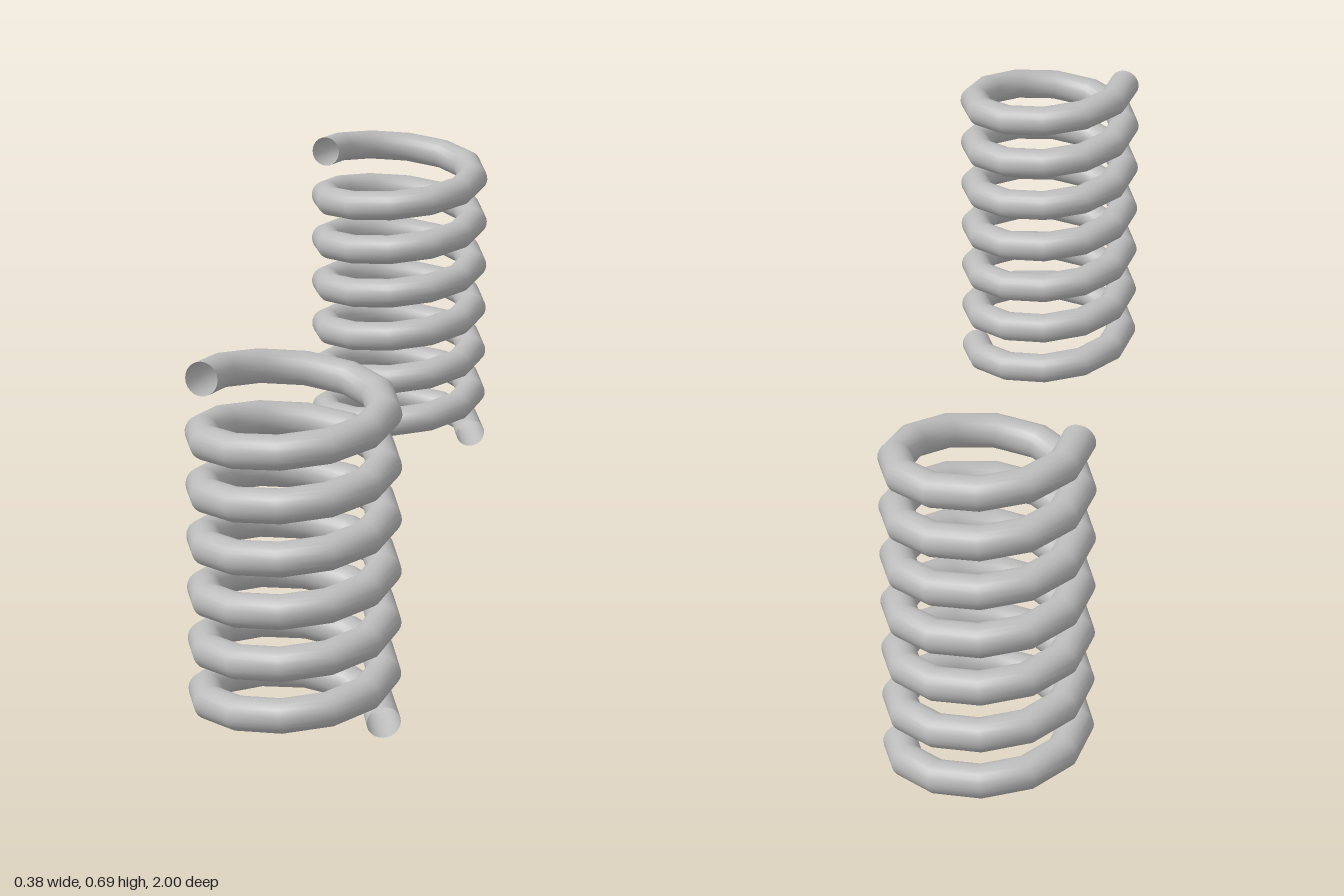
import * as THREE from 'three';

const TURNS = 6.5;
const STEPS_PER_TURN = 12;
const COIL_RADIUS = 0.161;
const WIRE_RADIUS = 0.031;
const BOTTOM = 0.032;
const TOP = 0.664;

// Helix centreline: starts at +x and winds round the back first
function helixCurve() {
  const steps = TURNS * STEPS_PER_TURN;
  const points = [];
  for (let i = 0; i <= steps; i++) {
    const a = (i / STEPS_PER_TURN) * Math.PI * 2;
    points.push(new THREE.Vector3(
      COIL_RADIUS * Math.cos(a),
      THREE.MathUtils.lerp(BOTTOM, TOP, i / steps),
      -COIL_RADIUS * Math.sin(a)
    ));
  }
  const curve = new THREE.CatmullRomCurve3(points);
  curve.arcLengthDivisions = steps * 20;
  return curve;
}

export function createModel() {
  const model = new THREE.Group();
  model.name = 'springPair';

  // Open-ended wire, so the inside shows at both ends
  const steel = new THREE.MeshStandardMaterial({ color: 0xbbbbbb, side: THREE.DoubleSide });
  steel.name = 'steel';

  const coil = new THREE.TubeGeometry(helixCurve(), TURNS * STEPS_PER_TURN, WIRE_RADIUS, 24, false);

  // Two identical springs, front and back
  for (const [name, z] of [['frontSpring', 0.808], ['backSpring', -0.808]]) {
    const spring = new THREE.Mesh(coil, steel);
    spring.name = name;
    spring.position.z = z;
    model.add(spring);
  }
  return model;
}
